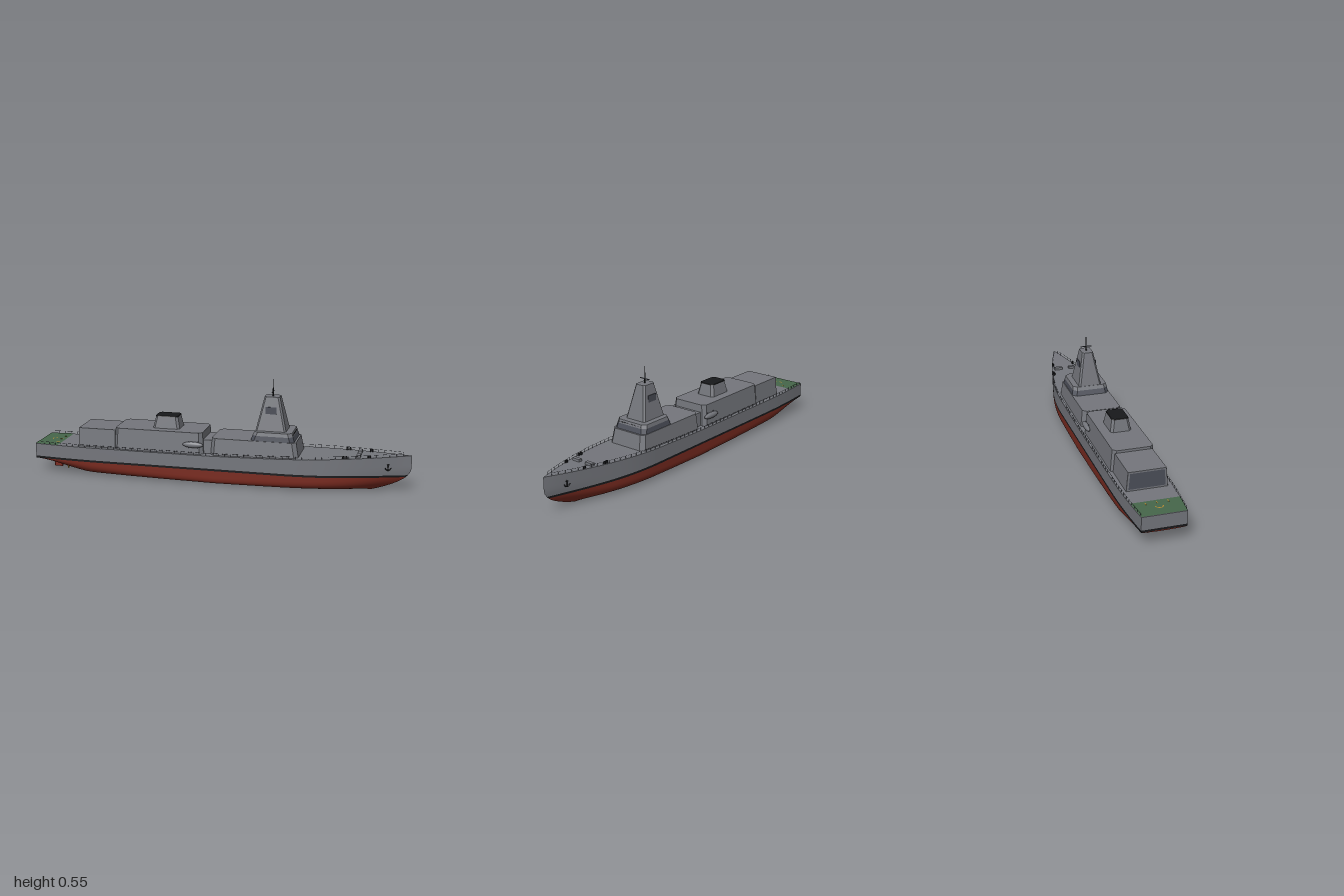
import * as THREE from 'three';
import { mergeGeometries } from 'three/addons/utils/BufferGeometryUtils.js';

const mat = (name, color) => Object.assign(new THREE.MeshStandardMaterial({ color }), { name });

// Hull form: bow at +x
const WL = 0.077, BAND = 0.088;
const clamp01 = (v) => Math.min(1, Math.max(0, v));
const deckY = (u) => 0.156 + 0.037 * clamp01((u + 0.1) / 1.1) ** 1.5;
const deckW = (u) => u > 0.35
  ? 0.132 * (1 - clamp01((u - 0.35) / 0.65) ** 1.8)
  : 0.132 - 0.021 * clamp01((-0.6 - u) / 0.4) ** 2;
const keelY = (u) => 0.072 * clamp01((-0.7 - u) / 0.3) ** 1.3;
const ramp = (u) => clamp01((u - 0.5) / 0.5) ** 2;
const stemX = (u, y) => u - 0.2 * clamp01(1 - y / 0.13) ** 2.2 * ramp(u);
const width = (u, y) => deckW(u) * (1 - 0.22 * ramp(u) * (deckY(u) - y) / (deckY(u) - WL));
const sidePoint = (u, y, s) => [stemX(u, y), y, s * width(u, y)];
function bottomPoint(u, a) {
  const e = 2 / (1.7 + 4.5 * (1 - Math.abs(u)) ** 1.2);
  const y = WL - (WL - keelY(u)) * Math.abs(Math.cos(a)) ** e;
  return [stemX(u, y), y, Math.sign(a) * width(u, WL) * Math.abs(Math.sin(a)) ** e];
}

// Surface through f(i, j); it faces dI x dJ
function grid(f, ni, nj) {
  const pos = [], idx = [];
  for (let i = 0; i <= ni; i++) for (let j = 0; j <= nj; j++) pos.push(...f(i, j));
  for (let i = 0; i < ni; i++) for (let j = 0; j < nj; j++) {
    const a = i * (nj + 1) + j, b = a + nj + 1;
    idx.push(a, b, b + 1, a, b + 1, a + 1);
  }
  const g = new THREE.BufferGeometry();
  g.setAttribute('position', new THREE.Float32BufferAttribute(pos, 3));
  g.setIndex(idx);
  g.computeVertexNormals();
  return g;
}

// Tapered block with chamfered corners; lo and hi are [x0, x1, halfZ]
function taper(lo, hi, y0, y1, c = 0.0005) {
  const ring = ([x0, x1, z], y) => [
    [x0 + c, y, z], [x1 - c, y, z], [x1, y, z - c], [x1, y, c - z],
    [x1 - c, y, -z], [x0 + c, y, -z], [x0, y, c - z], [x0, y, z - c]];
  const b = ring(lo, y0), t = ring(hi, y1), pos = [];
  for (let i = 0; i < 8; i++) {
    const k = (i + 1) % 8;
    pos.push(...b[i], ...b[k], ...t[k], ...b[i], ...t[k], ...t[i]);
    if (i > 0 && i < 7) pos.push(...t[0], ...t[i], ...t[k], ...b[0], ...b[k], ...b[i]);
  }
  const g = new THREE.BufferGeometry();
  g.setAttribute('position', new THREE.Float32BufferAttribute(pos, 3));
  g.computeVertexNormals();
  return g;
}

const box = (w, h, d, x, y, z) => new THREE.BoxGeometry(w, h, d).translate(x, y, z);

export function createModel() {
  const grey = mat('shipGrey', 0x74767c), red = mat('bottomRed', 0x7a2b20);
  const black = mat('black', 0x18191b), green = mat('padGreen', 0x46664a);
  const slate = mat('windowSlate', 0x4c4f59), gold = mat('brass', 0xb58a32);
  const ship = new THREE.Group();
  ship.name = 'warship';
  const add = (name, g, m) => {
    const mesh = new THREE.Mesh(g, m);
    mesh.name = name;
    ship.add(mesh);
    return mesh;
  };

  // Hull plating, waterline band and deck
  const N = 64, st = (i) => -1 + 2 * i / N;
  const ang = (j) => (j / 28 - 0.5) * Math.PI;
  add('hullBottom', grid((i, j) => bottomPoint(st(i), ang(j)), N, 28), red);
  for (const s of [1, -1]) {
    const v = (j, n) => (s > 0 ? j : n - j) / n;
    add('waterlineBand', grid((i, j) => sidePoint(st(i), WL + (BAND - WL) * v(j, 1), s), N, 1), black);
    add('hullSide', grid((i, j) => {
      const u = st(i);
      return sidePoint(u, BAND + (deckY(u) - BAND) * v(j, 6), s);
    }, N, 6), grey);
  }
  add('deck', grid((i, j) => sidePoint(st(i), deckY(st(i)), 1 - 2 * j), N, 1), grey);

  // Transom
  const flat = (y0, y1) => grid((i, j) => sidePoint(-1, j ? y1 : y0, i ? 1 : -1), 1, 1);
  add('transom', flat(BAND, deckY(-1)), grey);
  add('transomBand', flat(WL, BAND), black);
  add('transomBottom', grid((i, j) => bottomPoint(-1, (i ? 1 : -1) * j / 14 * Math.PI / 2), 1, 14), red);

  // Landing pad with markings
  add('landingPad', grid((i, j) => {
    const u = -0.999 + 0.129 * i / 4;
    return [u, deckY(u) + 0.002, (1 - 2 * j) * (deckW(u) - 0.001)];
  }, 4, 1), green);
  add('padArc', new THREE.RingGeometry(0.016, 0.021, 20, 1, Math.PI / 2, Math.PI)
    .rotateX(-Math.PI / 2).translate(-0.925, 0.159, 0), gold);
  for (const z of [-0.055, 0, 0.055]) add('padMark', box(0.016, 0.001, 0.005, -0.893, 0.1586, z), gold);

  // Hangar and superstructure blocks
  add('hangar', taper([-0.755, -0.55, 0.104], [-0.755, -0.55, 0.095], 0.15, 0.255), grey);
  add('hangarDoor', grid((i, j) => [-0.7565, j ? 0.247 : 0.165, (i ? 1 : -1) * (j ? 0.085 : 0.092)], 1, 1), slate);
  add('aftBlock', taper([-0.555, -0.068, 0.114], [-0.55, -0.075, 0.103], 0.15, 0.268, 0.018), grey);
  add('linkBlock', taper([-0.08, -0.02, 0.085], [-0.08, -0.02, 0.08], 0.15, 0.228), grey);
  add('forwardBlock', taper([-0.03, 0.435, 0.114], [-0.024, 0.418, 0.103], 0.15, 0.245, 0.02), grey);

  // Bridge
  add('bridgeWindowBand', taper([0.18, 0.408, 0.1], [0.19, 0.4, 0.096], 0.245, 0.271, 0.02), slate);
  add('bridgeTop', taper([0.19, 0.4, 0.096], [0.198, 0.394, 0.092], 0.271, 0.29, 0.02), grey);
  for (let i = -7; i <= 7; i++) add('bridgeVent', box(0.002, 0.003, 0.003, 0.398, 0.279, i * 0.0098), black);

  // Mast tower with sensor panels, pole and yard
  add('mastTower', taper([0.2, 0.36, 0.062], [0.24, 0.32, 0.03], 0.29, 0.465, 0.009), grey);
  for (const s of [1, -1]) {
    add('sensorPanel', box(0.056, 0.038, 0.003, 0.278, 0.395, s * 0.0445).rotateX(0), slate);
  }
  add('mastPole', new THREE.CylinderGeometry(0.001, 0.004, 0.09, 8).translate(0.28, 0.508, 0), black);
  add('mastYard', box(0.004, 0.004, 0.06, 0.28, 0.488, 0), slate);

  // Funnel
  add('funnel', taper([-0.355, -0.21, 0.054], [-0.342, -0.222, 0.043], 0.268, 0.329, 0.012), grey);
  add('funnelCap', taper([-0.344, -0.22, 0.045], [-0.342, -0.222, 0.043], 0.329, 0.334, 0.012), black);

  for (const s of [1, -1]) {
    // Lifeboat on its cradle
    add('lifeboat', new THREE.SphereGeometry(1, 20, 12).scale(0.056, 0.016, 0.014)
      .translate(-0.12, 0.207, s * 0.115), grey);
    for (const x of [-0.145, -0.095]) add('davit', box(0.006, 0.04, 0.012, x, 0.205, s * 0.105), slate);

    // Anchor, lying on the bow plating
    const anchor = mergeGeometries([
      box(0.005, 0.034, 0.004, 0, 0, 0), box(0.014, 0.004, 0.004, 0, 0.011, 0),
      new THREE.TorusGeometry(0.014, 0.0028, 5, 12, Math.PI).rotateZ(Math.PI).translate(0, -0.003, 0),
    ]);
    const a = add('anchor', anchor, black);
    const slope = (width(0.9, 0.135) - width(0.86, 0.135)) / 0.04;
    a.position.set(0.885, 0.135, s * (width(0.885, 0.135) + 0.001));
    a.rotation.y = -s * Math.atan(slope);

    // Foredeck fittings
    add('hatch', box(0.02, 0.014, 0.045, 0.735, deckY(0.735) + 0.006, s * 0.042), grey);
    for (const [x, z, r] of [[0.67, 0.085, 0.006], [0.79, 0.06, 0.004]]) {
      for (const d of [-1, 1]) {
        add('bollard', new THREE.CylinderGeometry(r, r, 0.014, 8)
          .translate(x + d * r * 1.3, deckY(x) + 0.006, s * z), black);
      }
    }

    // Rudder, propeller and shaft
    add('rudder', taper([-0.918, -0.872, 0.004], [-0.922, -0.868, 0.005], 0.02, 0.075, 0.003)
      .translate(0, 0, s * 0.05), red);
    const blades = [0, 1, 2, 3].map((i) => new THREE.SphereGeometry(1, 8, 6).scale(0.002, 0.008, 0.005)
      .rotateY(0.5).translate(0, 0.01, 0).rotateX(i * Math.PI / 2));
    const hub = new THREE.CylinderGeometry(0.003, 0.004, 0.014, 10).rotateZ(Math.PI / 2);
    add('propeller', mergeGeometries([hub, ...blades]), gold).position.set(-0.84, 0.027, s * 0.05);
    add('propellerShaft', new THREE.CylinderGeometry(0.002, 0.002, 0.1, 8)
      .rotateZ(Math.PI / 2).translate(-0.79, 0.027, s * 0.05), slate);

    // Deck-edge railing
    const pts = [], posts = [];
    for (let u = -0.985; u < 0.97; u += 0.0335) {
      const y = deckY(u), z = s * (deckW(u) - 0.003);
      pts.push(new THREE.Vector3(u, y + 0.014, z));
      posts.push(box(0.0016, 0.015, 0.0016, u, y + 0.007, z));
    }
    const rail = new THREE.TubeGeometry(new THREE.CatmullRomCurve3(pts), 80, 0.0007, 4);
    add('railing', mergeGeometries([rail, ...posts]), slate);
  }
  return ship;
}
